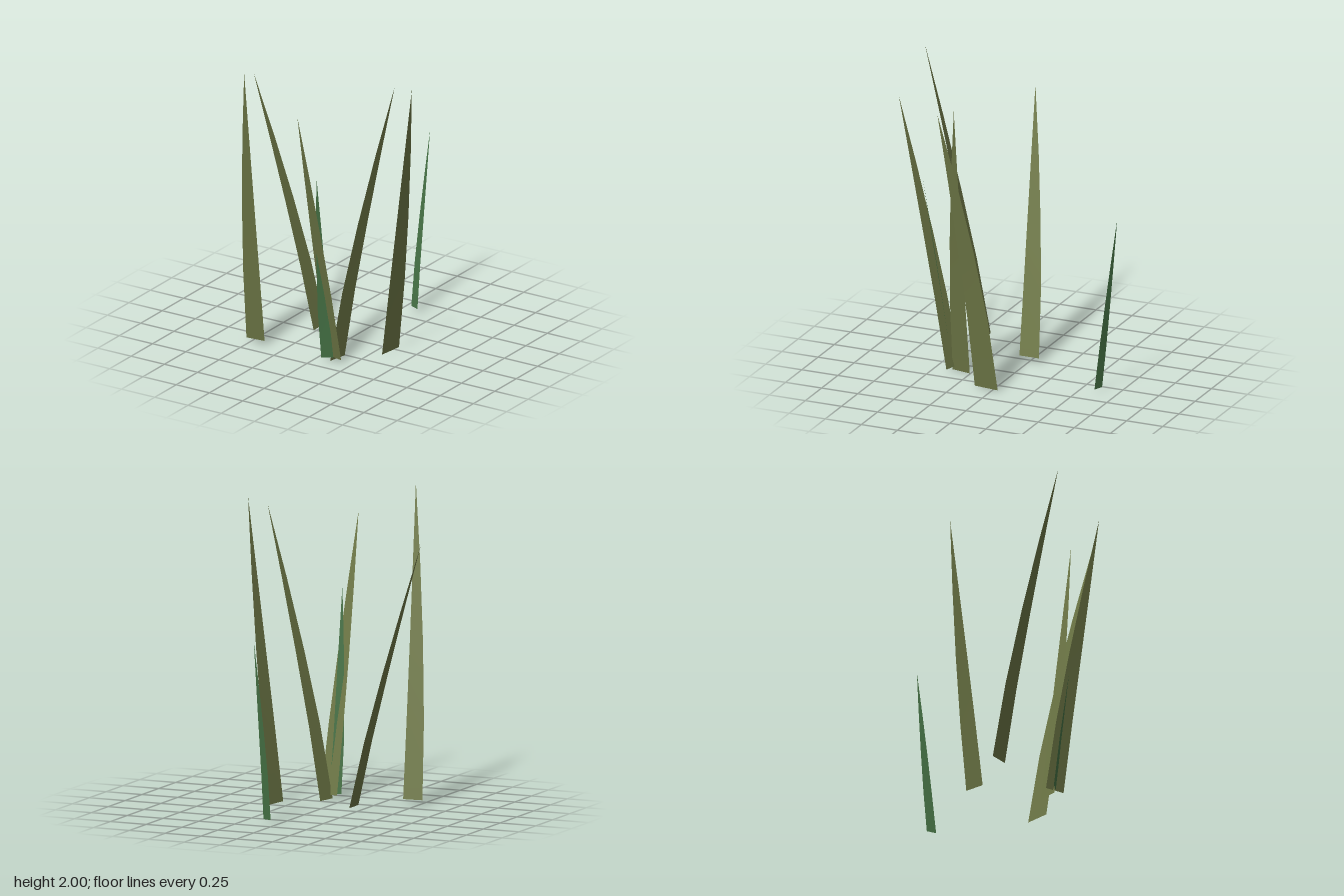
import * as THREE from 'three';

const SEGMENTS = 4;

// One flat leaf: two base corners taper to a single tip. It leans almost
// straight across its face and sways by its own power along its width.
function blade(name, left, right, tip, sway, color) {
  const l = new THREE.Vector3(...left), r = new THREE.Vector3(...right);
  const end = new THREE.Vector3(...tip);
  const base = l.clone().add(r).multiplyScalar(0.5);
  const half = r.clone().sub(l).multiplyScalar(0.5);
  const along = end.clone().sub(base).projectOnVector(half);
  const across = end.clone().sub(base).sub(along);
  const positions = [], index = [];
  for (let i = 0; i < SEGMENTS; i++) {
    const t = i / SEGMENTS;
    const width = 1 - Math.pow(t, 1.65);
    const c = base.clone()
      .addScaledVector(along, Math.pow(t, sway))
      .addScaledVector(across, Math.pow(t, 1.08));
    c.y = THREE.MathUtils.lerp(base.y, end.y, t);
    for (const side of [-1, 1]) positions.push(...c.clone().addScaledVector(half, side * width).toArray());
    const a = i * 2;
    if (i < SEGMENTS - 1) index.push(a, a + 1, a + 3, a, a + 3, a + 2);
    else index.push(a, a + 1, a + 2);
  }
  positions.push(...end.toArray());

  const geometry = new THREE.BufferGeometry();
  geometry.setAttribute('position', new THREE.Float32BufferAttribute(positions, 3));
  geometry.setIndex(index);
  geometry.computeVertexNormals();
  const mesh = new THREE.Mesh(geometry, new THREE.MeshStandardMaterial({ color, side: THREE.DoubleSide }));
  mesh.name = name;
  return mesh;
}

export function createModel() {
  const group = new THREE.Group();
  group.name = 'grassTuft';
  const olive = 0x6f7947, green = 0x477446;

  // Tall olive blades, then two short green shoots: base corners, tip, sway
  const blades = [
    ['frontRightBlade', [-0.52, 0.03, 0.40], [-0.39, 0.03, 0.39], [-0.305, 2.0, 0.76], 1.5, olive],
    ['rightBlade', [-0.228, 0.03, -0.065], [-0.228, 0.03, 0.07], [-0.63, 1.71, 0.14], 1.4, olive],
    ['leftBlade', [0.325, 0.005, 0.13], [0.345, 0.005, -0.037], [0.628, 1.915, 0.253], 1.5, olive],
    ['middleBlade', [0.10, 0.0, 0.385], [0.125, 0.0, 0.255], [0.472, 1.89, 0.21], 1.4, olive],
    ['frontBlade', [0.055, 0.025, 0.355], [0.185, 0.025, 0.39], [0.095, 1.785, 0.76], 1.3, olive],
    ['frontShoot', [0.055, 0.025, 0.42], [0.12, 0.025, 0.38], [0.128, 1.33, 0.59], 0.7, green],
    ['backShoot', [0.055, 0.02, -0.63], [0.117, 0.02, -0.605], [0.112, 1.185, -0.76], 0.7, green],
  ];
  for (const b of blades) group.add(blade(...b));
  return group;
}
